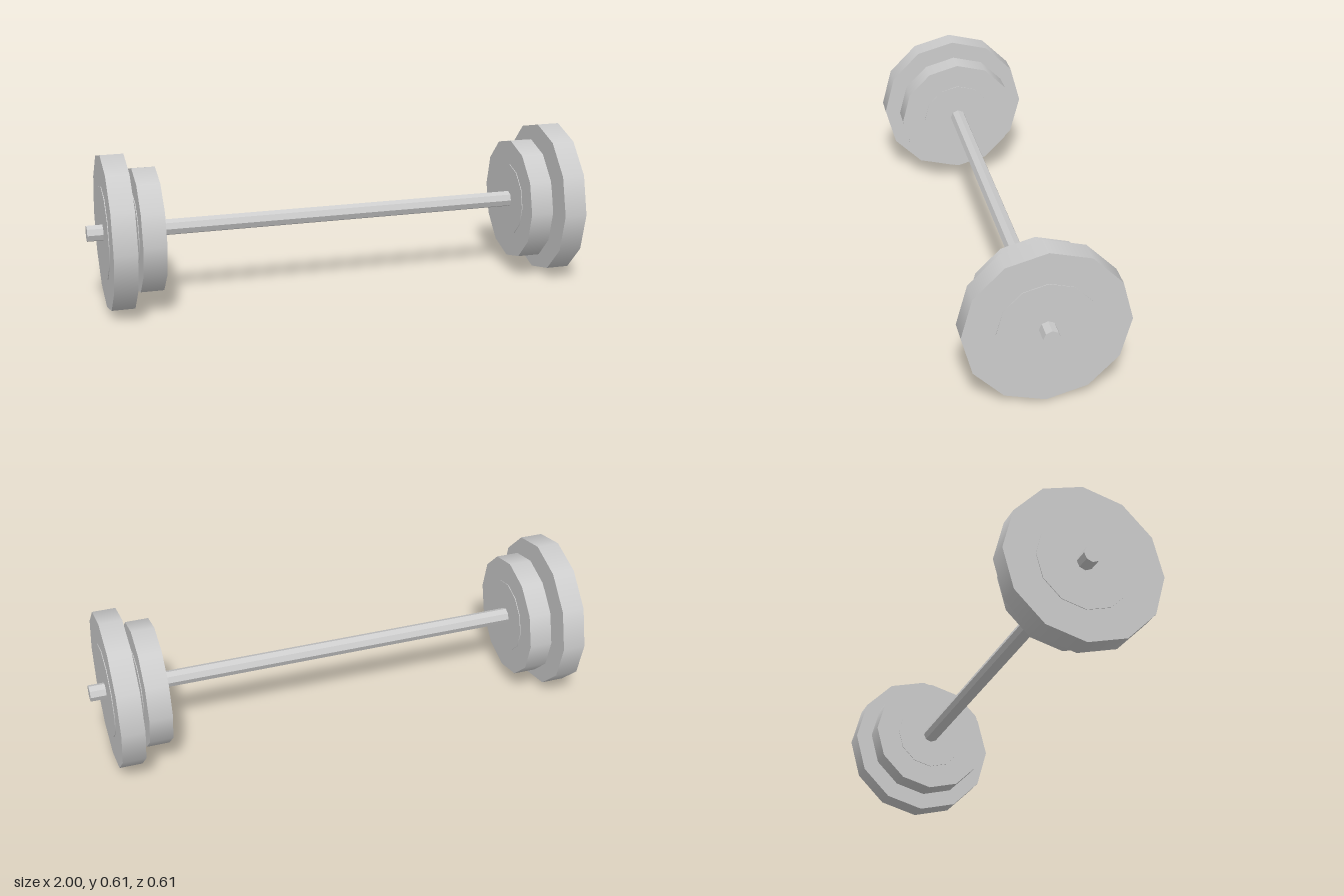
import * as THREE from 'three';

const AXIS_Y = 0.307;

export function createModel() {
  const group = new THREE.Group();
  group.name = 'barbell';
  const steel = new THREE.MeshStandardMaterial({ color: 0xcccccc });
  steel.name = 'grey steel';

  // Prism lying along x, with a corner at the top
  function disc(name, radius, length, x, sides, flat = false) {
    let geometry = new THREE.CylinderGeometry(radius, radius, length, sides);
    geometry.rotateZ(-Math.PI / 2);
    if (flat) {
      geometry = geometry.toNonIndexed();
      geometry.computeVertexNormals();
    }
    const mesh = new THREE.Mesh(geometry, steel);
    mesh.name = name;
    mesh.position.set(x, AXIS_Y, 0);
    return mesh;
  }

  // Eight-sided bar
  group.add(disc('bar', 0.032, 2, 0, 8, true));

  // Weight plates, each with a slightly raised hub on both faces
  const plates = [
    { name: 'innerPlate', x: 0.774, radius: 0.245 },
    { name: 'outerPlate', x: 0.891, radius: 0.305 },
  ];
  for (const side of [1, -1]) {
    for (const { name, x, radius } of plates) {
      const plate = new THREE.Group();
      plate.name = (side > 0 ? 'left ' : 'right ') + name;
      plate.add(disc('weight', radius, 0.09, side * x, 12));
      plate.add(disc('hub', radius * 0.6, 0.095, side * x, 12));
      group.add(plate);
    }
  }
  return group;
}
